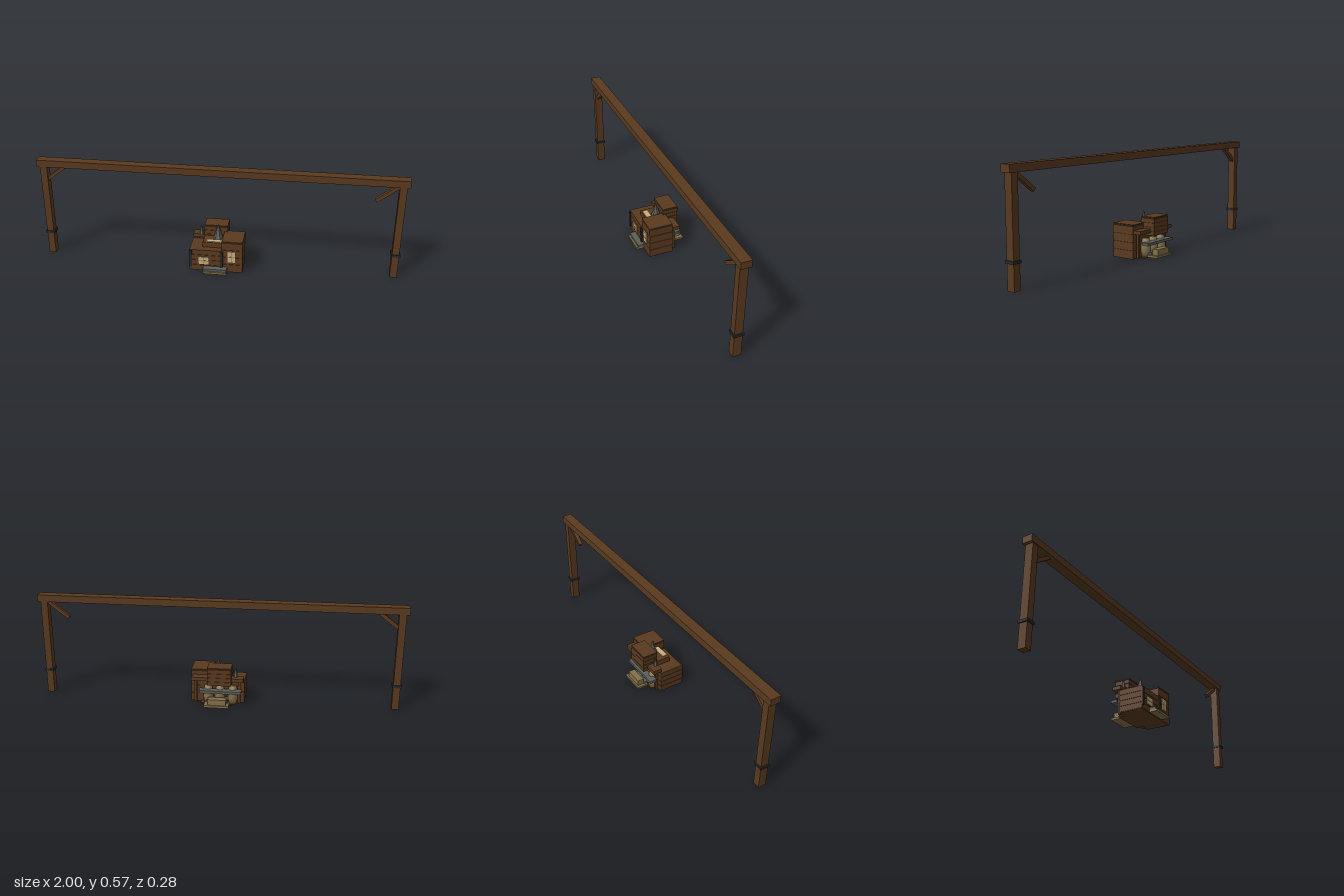
import * as THREE from 'three';

const mat = (name, color) => Object.assign(new THREE.MeshStandardMaterial({ color }), { name });

export function createModel() {
  const wood = mat('brownWood', 0x5a3a1f);
  const dark = mat('darkWood', 0x3c2615);
  const iron = mat('darkIron', 0x25292b);
  const stone = mat('greyStone', 0x5b605a);
  const tan = mat('tanWood', 0x85714a);
  const pale = mat('paleWindow', 0xc8ad7c);

  const model = new THREE.Group();
  model.name = 'gateAndHut';

  const add = (name, geometry, material, x, y, z, parent = model) => {
    const mesh = new THREE.Mesh(geometry, material);
    mesh.name = name;
    mesh.position.set(x, y, z);
    parent.add(mesh);
    return mesh;
  };
  // Box given by its low and high limits on each axis
  const box = (name, material, [x0, x1], [y0, y1], [z0, z1], parent = model) =>
    add(name, new THREE.BoxGeometry(x1 - x0, y1 - y0, z1 - z0), material,
      (x0 + x1) / 2, (y0 + y1) / 2, (z0 + z1) / 2, parent);
  // Facets with hard edges
  const faceted = (geometry) => {
    const flat = geometry.toNonIndexed();
    flat.computeVertexNormals();
    return flat;
  };

  // Room of stacked planks around a dark core
  const plankRoom = (name, xs, [y0, y1], zs, rows) => {
    const room = new THREE.Group();
    room.name = name;
    model.add(room);
    const inset = ([a, b]) => [a + 0.003, b - 0.003];
    box(name + 'Core', dark, inset(xs), [y0 + 0.001, y1 - 0.003], inset(zs), room);
    const step = (y1 - y0) / rows;
    for (let i = 0; i < rows; i++) {
      box(name + 'Plank', wood, xs, [y0 + i * step, y0 + (i + 1) * step - 0.002], zs, room);
    }
  };

  // Gate: long beam, two posts with iron bands and parallel braces
  box('gateBeam', wood, [-1, 1], [0.535, 0.573], [-0.028, 0.028]);
  for (const side of [-1, 1]) {
    const x = side * 0.965;
    box('gatePost', wood, [x - 0.019, x + 0.019], [0, 0.535], [-0.022, 0.022]);
    box('postBand', iron, [x - 0.025, x + 0.025], [0.127, 0.141], [-0.027, 0.027]);
    const brace = add('gateBrace', new THREE.BoxGeometry(0.14, 0.02, 0.022), wood,
      side < 0 ? -0.9 : 0.888, side < 0 ? 0.496 : 0.487, 0);
    brace.rotation.z = 0.66;
  }

  // Hut floor and the plank rooms
  box('hutFloor', wood, [-0.145, 0.145], [0, 0.004], [-0.038, 0.096]);
  box('backFloor', wood, [-0.1, 0.09], [0, 0.004], [-0.075, -0.038]);
  plankRoom('lowRoom', [-0.147, 0.032], [0.004, 0.129], [-0.038, 0.098], 4);
  plankRoom('tallRoom', [0.032, 0.147], [0.004, 0.18], [-0.038, 0.096], 4);
  plankRoom('backLoft', [-0.08, 0.05], [0.121, 0.215], [-0.108, -0.022], 4);

  // Raised roof section with a pale hatch, and the flat roofs
  box('raisedRoof', wood, [-0.078, 0.032], [0.127, 0.157], [-0.038, 0.06]);
  box('roofHatch', pale, [-0.06, 0.03], [0.157, 0.161], [0.028, 0.055]);
  box('tallRoof', wood, [0.032, 0.147], [0.181, 0.187], [-0.038, 0.096]);
  box('loftRoof', wood, [-0.08, 0.05], [0.216, 0.222], [-0.108, -0.022]);

  // Back porch: roof on posts
  box('porchRoof', wood, [-0.145, 0.14], [0.136, 0.156], [-0.084, -0.033]);
  for (const x of [-0.12, 0.12]) {
    box('porchPost', wood, [x - 0.007, x + 0.007], [0.004, 0.136], [-0.06, -0.046]);
  }

  // Front windows with thin cross bars
  const frontWindow = ([x0, x1], [y0, y1]) => {
    const x = (x0 + x1) / 2, y = (y0 + y1) / 2;
    box('windowPane', pale, [x0, x1], [y0, y1], [0.096, 0.102]);
    box('windowUpright', tan, [x - 0.0012, x + 0.0012], [y0, y1], [0.1, 0.103]);
    box('windowCrossbar', tan, [x0, x1], [y - 0.0012, y + 0.0012], [0.1, 0.103]);
  };
  frontWindow([-0.094, -0.039], [0.041, 0.084]);
  frontWindow([0.066, 0.106], [0.064, 0.129]);

  // Iron strips on the front corners
  for (const x of [-0.139, 0.032]) {
    box('cornerStrip', iron, [x - 0.007, x + 0.007], [0.02, 0.122], [0.095, 0.104]);
  }

  // Front and back steps
  box('frontLowerStep', tan, [-0.067, 0.062], [0.004, 0.016], [0.096, 0.141]);
  box('frontUpperStep', stone, [-0.067, 0.062], [0.016, 0.029], [0.096, 0.131]);
  box('backLowerStep', tan, [-0.07, 0.065], [0.004, 0.016], [-0.139, -0.075]);
  box('backUpperStep', stone, [-0.06, 0.055], [0.016, 0.029], [-0.094, -0.04]);
  box('backCrate', tan, [-0.055, 0.045], [0.016, 0.048], [-0.131, -0.094]);

  // Stone counter across the porch
  box('porchCounter', stone, [-0.134, 0.096], [0.071, 0.086], [-0.1, -0.06]);

  // Barrels under the porch
  const barrelProfile = [[0, 0], [0.022, 0], [0.028, 0.03], [0.028, 0.06], [0.02, 0.098], [0, 0.1]]
    .map(([r, y]) => new THREE.Vector2(r, y));
  const barrel = new THREE.LatheGeometry(barrelProfile, 12);
  for (const x of [-0.085, -0.015, 0.05]) add('barrel', barrel, tan, x, 0.004, -0.052);

  // Pointed stone finials on the roof
  const finial = (name, r, h, x, z) => {
    const parts = [
      add(name + 'Base', faceted(new THREE.CylinderGeometry(r * 0.8, r, 0.012, 6)), stone, x, 0.161, z),
      add(name + 'Spire', faceted(new THREE.ConeGeometry(r, h, 6)), stone, x, 0.164 + h / 2, z),
    ];
    for (const part of parts) part.rotation.y = Math.PI / 6;
  };
  finial('largeFinial', 0.025, 0.084, 0, 0);
  finial('smallFinial', 0.012, 0.048, -0.1, -0.045);

  return model;
}
